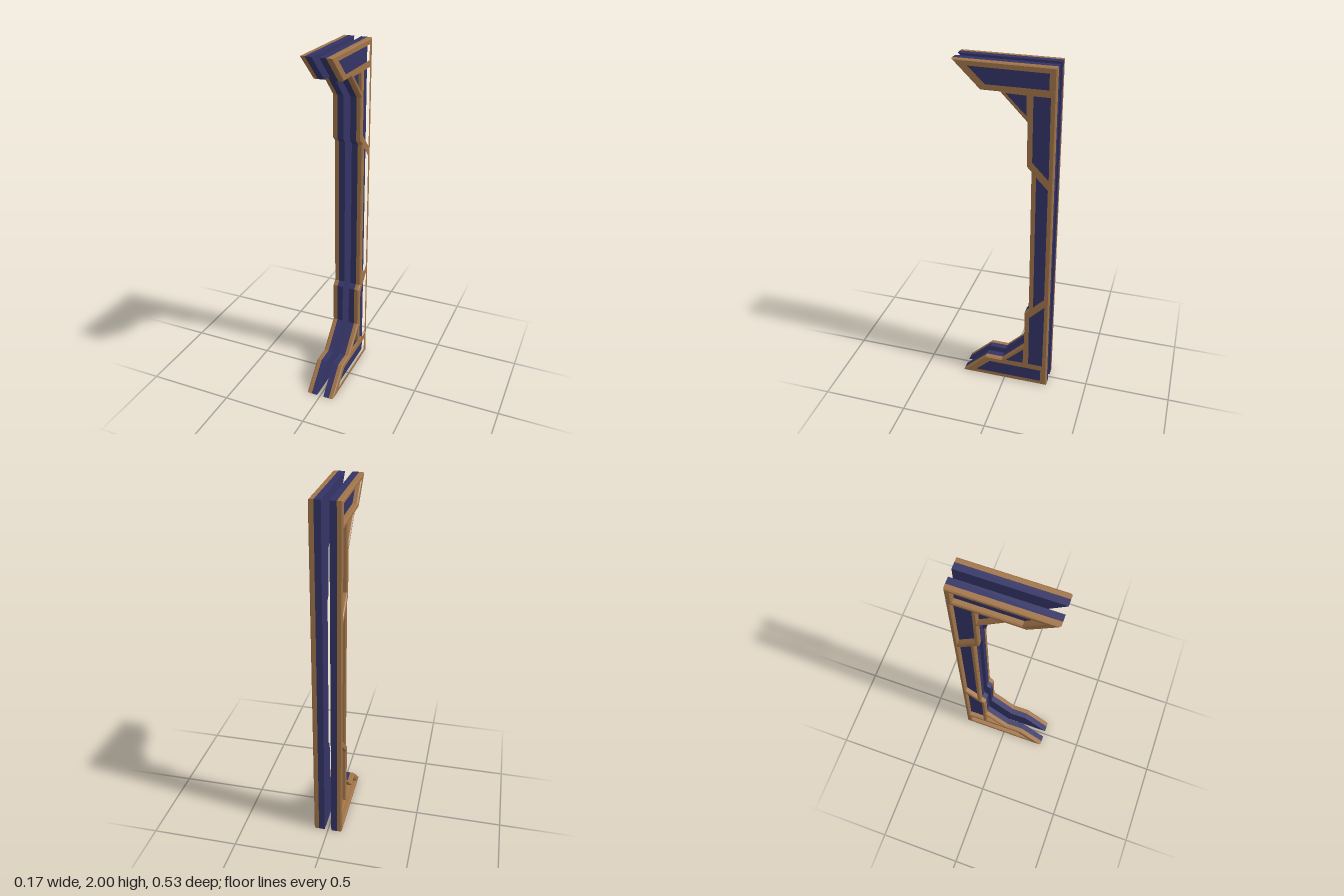
import * as THREE from 'three';

const CORE_IN = 0.02, CORE_OUT = 0.055, FRAME_OUT = 0.083, BEVEL = 0.006;

// Points are [z, y]; the upper half repeats the lower half
const flip = (pts) => pts.map(([z, y]) => [z, 2 - y]).reverse();

const lowerEdge = [
  [-0.265, 0], [0.265, 0], [0.12, 0.143], [0.018, 0.143],
  [-0.122, 0.287], [-0.122, 0.53], [-0.147, 0.555],
];
const outline = [...lowerEdge, ...flip(lowerEdge)];

// Openings in the frame through which the core shows
const lowerHoles = [
  [[-0.234, 0.024], [0.19, 0.024], [0.096, 0.118], [-0.234, 0.118]],   // foot
  [[-0.122, 0.143], [-0.002, 0.143], [-0.122, 0.262]],                 // brace
  [[-0.243, 0.143], [-0.145, 0.143], [-0.145, 0.504], [-0.243, 0.602]], // lower post
];
const middleHole = [[-0.243, 0.647], [-0.17, 0.575], [-0.17, 1.425], [-0.243, 1.353]];
const holes = [...lowerHoles, ...lowerHoles.map(flip), middleHole];

const blue = new THREE.MeshStandardMaterial({ color: 0x333366, flatShading: true });
const brown = new THREE.MeshStandardMaterial({ color: 0xa07448, flatShading: true });

function createSlab(side) {
  const toVectors = (pts) => pts.map(([z, y]) => new THREE.Vector2(-side * z, y));
  const slab = new THREE.Group();
  slab.name = side > 0 ? 'leftSlab' : 'rightSlab';

  const add = (name, geometry, material, start) => {
    geometry.translate(0, 0, start);
    geometry.rotateY(side * Math.PI / 2);
    const mesh = new THREE.Mesh(geometry, material);
    mesh.name = name;
    slab.add(mesh);
  };

  // Solid core plate
  add('core', new THREE.ExtrudeGeometry(new THREE.Shape(toVectors(outline)), {
    depth: CORE_OUT - CORE_IN, bevelEnabled: false,
  }), blue, CORE_IN);

  // Raised trim with chamfered edges; its inner chamfer is sunk into the core
  const trim = new THREE.Shape(toVectors(outline));
  trim.holes = holes.map((pts) => new THREE.Path(toVectors(pts)));
  add('trimFrame', new THREE.ExtrudeGeometry(trim, {
    depth: FRAME_OUT - BEVEL - CORE_OUT, bevelEnabled: true, bevelSegments: 1,
    bevelSize: BEVEL, bevelThickness: BEVEL, bevelOffset: -BEVEL,
  }), brown, CORE_OUT);

  return slab;
}

export function createModel() {
  const model = new THREE.Group();
  model.name = 'bracketFrame';
  for (const side of [1, -1]) model.add(createSlab(side));
  return model;
}
